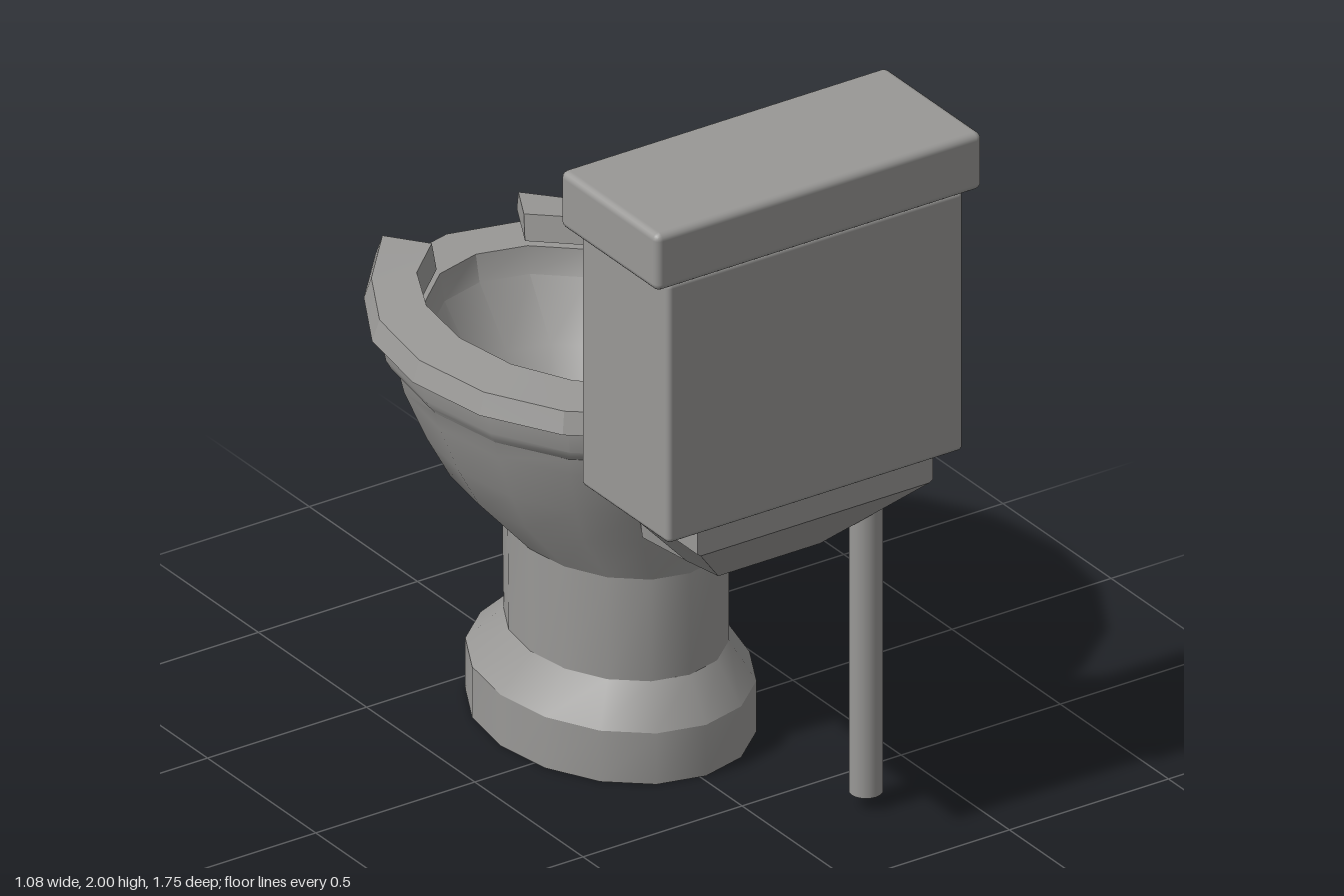
import * as THREE from 'three';
import { toCreasedNormals } from 'three/addons/utils/BufferGeometryUtils.js';
import { RoundedBoxGeometry } from 'three/addons/geometries/RoundedBoxGeometry.js';

const SIDES = 16;

// Skins a list of closed loops of [x, y, z] points, optionally capping both ends.
function loft(loops, capped, crease) {
  const n = loops[0].length;
  const index = [];
  for (let i = 0; i < loops.length - 1; i++) {
    for (let j = 0; j < n; j++) {
      const a = i * n + j, b = i * n + (j + 1) % n;
      index.push(a, b, b + n, a, b + n, a + n);
    }
  }
  if (capped) {
    const last = (loops.length - 1) * n;
    for (let k = 1; k < n - 1; k++) {
      index.push(0, k + 1, k);
      index.push(last, last + k, last + k + 1);
    }
  }
  const geo = new THREE.BufferGeometry();
  geo.setAttribute('position', new THREE.Float32BufferAttribute(loops.flat(2), 3));
  geo.setIndex(index);
  return toCreasedNormals(geo, crease);
}

// Horizontal oval loop
function oval([y, cz, rx, rz, cx = 0.008]) {
  return Array.from({ length: SIDES }, (_, j) => {
    const t = (j / SIDES) * Math.PI * 2;
    return [cx + rx * Math.sin(t), y, cz + rz * Math.cos(t)];
  });
}

export function createModel() {
  const group = new THREE.Group();
  const porcelain = new THREE.MeshStandardMaterial({ color: 0x999896, side: THREE.DoubleSide });
  porcelain.name = 'porcelain grey';

  const add = (name, geo, x = 0, y = 0, z = 0) => {
    const mesh = new THREE.Mesh(geo, porcelain);
    mesh.name = name;
    mesh.position.set(x, y, z);
    group.add(mesh);
    return mesh;
  };

  // Hollow foot and neck: [y, centre z, half width, half depth, centre x]
  add('pedestal', loft([
    [0, -0.13, 0.348, 0.44, 0.016],
    [0.15, -0.13, 0.348, 0.44, 0.016],
    [0.265, -0.105, 0.27, 0.34, 0.016],
    [0.565, -0.108, 0.27, 0.345, 0.016],
  ].map(oval), false, 0.5));

  // Bowl: up the outside, over the lip, down the inside to the drain
  add('bowl', loft([
    [0.565, -0.108, 0.27, 0.345, 0.016],
    [0.69, -0.19, 0.365, 0.46],
    [0.8, -0.203, 0.42, 0.51],
    [0.935, -0.215, 0.473, 0.565],
    [0.985, -0.215, 0.485, 0.575],
    [1.0, -0.225, 0.497, 0.61],
    [1.02, -0.23, 0.505, 0.632],
    [1.075, -0.235, 0.513, 0.642],
    [1.075, -0.262, 0.36, 0.48],
    [1.0, -0.26, 0.35, 0.465],
    [0.85, -0.2, 0.31, 0.4],
    [0.68, -0.115, 0.237, 0.315],
    [0.68, 0.02, 0.083, 0.112],
    [0.6, 0.02, 0.075, 0.1],
    [0.6, 0.02, 0.001, 0.001],
  ].map(oval), false, 0.5));

  // Open-fronted seat: four-cornered section swept around the oval
  const seatLoops = [];
  for (let j = -7; j <= 7; j++) {
    const t = (j / SIDES) * Math.PI * 2;
    const stretch = Math.abs(j) === 7 ? 1.07 : 1;
    const corner = (y, cz, rx, rz, s = 1) =>
      [rx * s * Math.sin(t), y, cz + rz * s * Math.cos(t)];
    seatLoops.push([
      corner(1.162, -0.25, 0.378, 0.51),
      corner(1.15, -0.225, 0.522, 0.63, stretch),
      corner(1.09, -0.225, 0.542, 0.65, stretch),
      corner(1.09, -0.25, 0.363, 0.495),
    ]);
  }
  add('seat', loft(seatLoops, true, 0.3));

  // Tapered shelf joining the bowl to the tank:
  // [z, half width, top y, side bottom y, half width of underside, underside y]
  add('tankShelf', loft([
    [0.26, 0.18, 1.06, 0.95, 0.15, 0.73],
    [0.38, 0.2, 1.07, 0.97, 0.15, 0.742],
    [0.47, 0.37, 1.07, 0.985, 0.155, 0.755],
    [0.625, 0.37, 1.07, 1.0, 0.16, 0.78],
    [0.838, 0.37, 1.07, 1.0, 0.36, 0.993],
  ].map(([z, w, top, ys, b, yb]) => [
    [w, top, z], [-w, top, z], [-w, ys, z], [-b, yb, z], [b, yb, z], [w, ys, z],
  ]), true, 0.3));

  // Tank and lid
  add('tank', new RoundedBoxGeometry(0.93, 0.765, 0.405, 2, 0.015), -0.012, 1.452, 0.657);
  add('tankLid', new RoundedBoxGeometry(1.026, 0.167, 0.45, 2, 0.02), -0.012, 1.916, 0.653);

  // Flush handle: round plate, stem and bent lever
  const plate = new THREE.CylinderGeometry(0.045, 0.045, 0.025, 16).rotateX(Math.PI / 2);
  add('handlePlate', plate, 0.325, 1.765, 0.442);
  const stem = new THREE.CylinderGeometry(0.014, 0.014, 0.05, 10).rotateX(Math.PI / 2);
  add('handleStem', stem, 0.325, 1.762, 0.415);
  const leverShape = new THREE.Shape([
    [0.28, 0.378], [0.35, 0.378], [0.445, 0.4], [0.445, 0.415], [0.35, 0.402], [0.28, 0.402],
  ].map(([x, z]) => new THREE.Vector2(x, z)));
  const lever = new THREE.ExtrudeGeometry(leverShape, { depth: 0.026, bevelEnabled: false });
  add('handleLever', lever.rotateX(Math.PI / 2), 0, 1.775, 0);

  // Water supply pipe
  add('supplyPipe', new THREE.CylinderGeometry(0.045, 0.045, 0.9, 16), 0.272, 0.49, 0.673);

  return group;
}
